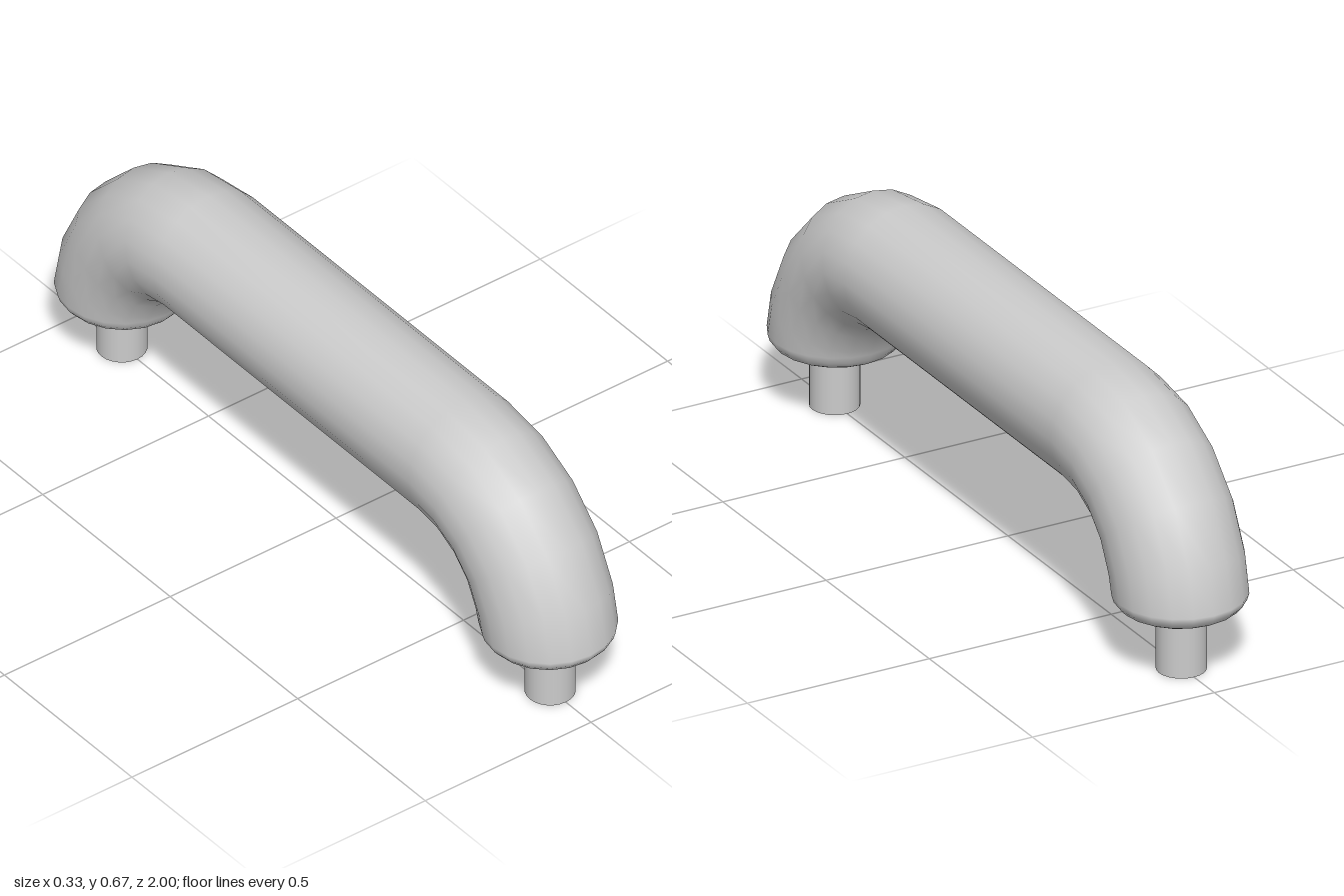
import * as THREE from 'three';

const SIDES = 20;
const R = 0.167;      // bar radius
const BEND = 0.333;   // bend radius of the centre line
const PIVOT_Z = 0.5, PIVOT_Y = 0.167;

// Cross-sections of one half, from the middle of the bar to the foot
function halfSections() {
  const list = [];
  for (let i = 0; i <= 4; i++) {
    const a = i * Math.PI / 10;
    list.push({ z: PIVOT_Z + BEND * Math.sin(a), y: PIVOT_Y + BEND * Math.cos(a), a, r: R });
  }
  // rounded foot, closed with a flat cap
  for (const [y, r] of [[0.203, R], [0.186, 0.162], [0.171, 0.149], [0.163, 0.134], [0.16, 0.116], [0.16, 0.09], [0.16, 0]]) {
    list.push({ z: PIVOT_Z + BEND, y, a: Math.PI / 2, r });
  }
  return list;
}

// Skin the round sections into one smooth surface
function loft(sections) {
  const pos = [], index = [];
  for (const s of sections) {
    for (let j = 0; j < SIDES; j++) {
      const t = j * 2 * Math.PI / SIDES, n = s.r * Math.sin(t);
      pos.push(s.r * Math.cos(t), s.y + n * Math.cos(s.a), s.z + n * Math.sin(s.a));
    }
  }
  for (let i = 0; i < sections.length - 1; i++) {
    for (let j = 0; j < SIDES; j++) {
      const k = (j + 1) % SIDES;
      const a = i * SIDES + j, b = i * SIDES + k, c = a + SIDES, d = b + SIDES;
      if (sections[i].r > 0) index.push(a, b, c);
      if (sections[i + 1].r > 0) index.push(b, d, c);
      else if (sections[i].r > 0) continue;
    }
  }
  const g = new THREE.BufferGeometry();
  g.setAttribute('position', new THREE.Float32BufferAttribute(pos, 3));
  g.setIndex(index);
  g.computeVertexNormals();
  return g;
}

export function createModel() {
  const group = new THREE.Group();
  group.name = 'pullHandle';
  const material = new THREE.MeshStandardMaterial({ color: 0xcccccc });

  // Bent grip, mirrored about the middle
  const half = halfSections();
  const back = half.map(s => ({ ...s, z: -s.z, a: -s.a })).reverse();
  const grip = new THREE.Mesh(loft([...back, ...half]), material);
  grip.name = 'grip';
  group.add(grip);

  // Mounting posts under both feet
  for (const [side, name] of [[1, 'frontPost'], [-1, 'backPost']]) {
    const post = new THREE.Mesh(new THREE.CylinderGeometry(0.0615, 0.0615, 0.17, 24), material);
    post.position.set(0, 0.085, side * 0.84);
    post.name = name;
    group.add(post);
  }
  return group;
}
